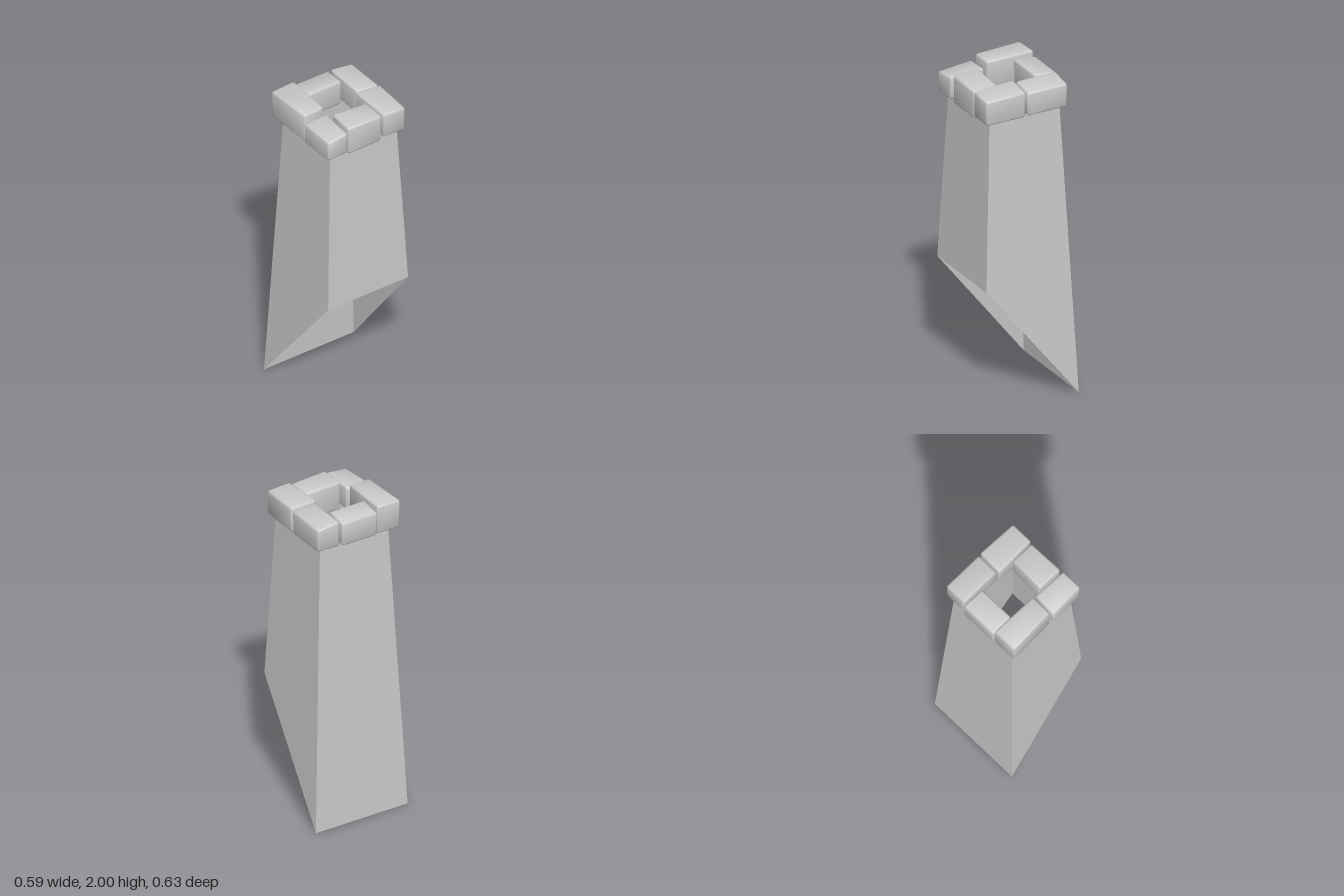
import * as THREE from 'three';
import { toCreasedNormals } from 'three/addons/utils/BufferGeometryUtils.js';
import { RoundedBoxGeometry } from 'three/addons/geometries/RoundedBoxGeometry.js';

const material = new THREE.MeshStandardMaterial({ color: 0xcccccc });
const shellMaterial = new THREE.MeshStandardMaterial({ color: 0xcccccc, side: THREE.DoubleSide });

// Hollow tapered shaft, open at the top and along the slanted bottom cut
function shaft() {
  const bottom = [[-0.297, 0, 0.313], [0.295, 0.765, 0.279], [0.295, 0.765, -0.279], [-0.297, 0, -0.313]];
  const top = [[-0.215, 1.83, 0.232], [0.247, 1.83, 0.232], [0.247, 1.83, -0.232], [-0.215, 1.83, -0.232]];
  const positions = [];
  for (let i = 0; i < 4; i++) {
    const j = (i + 1) % 4;
    positions.push(...bottom[i], ...bottom[j], ...top[j], ...bottom[i], ...top[j], ...top[i]);
  }
  const geometry = new THREE.BufferGeometry();
  geometry.setAttribute('position', new THREE.Float32BufferAttribute(positions, 3));
  geometry.computeVertexNormals();
  const mesh = new THREE.Mesh(geometry, shellMaterial);
  mesh.name = 'shaft';
  return mesh;
}

// Rim stone: a softened box warped onto an uneven plan.
// plan and tops list the corners: back left, back right, front right, front left
function stone(name, plan, base, tops) {
  const w = plan[1][0] - plan[0][0], d = plan[3][1] - plan[0][1], h = tops[0] - base;
  const geometry = new RoundedBoxGeometry(w, h, d, 2, 0.014);
  const p = geometry.attributes.position;
  const cx = plan.reduce((s, c) => s + c[0], 0) / 4;
  const cz = plan.reduce((s, c) => s + c[1], 0) / 4;
  for (let i = 0; i < p.count; i++) {
    const u = p.getX(i) / w + 0.5, v = p.getY(i) / h + 0.5, t = p.getZ(i) / d + 0.5;
    const weights = [(1 - u) * (1 - t), u * (1 - t), u * t, (1 - u) * t];
    const blend = (values) => weights.reduce((s, k, n) => s + k * values[n], 0);
    // ends pull in slightly above and below the widest level
    const pinch = 1 - 0.12 * (v - 0.55) ** 2;
    const x = cx + (blend(plan.map((c) => c[0])) - cx) * pinch;
    const z = cz + (blend(plan.map((c) => c[1])) - cz) * pinch;
    p.setXYZ(i, x, base + (blend(tops) - base) * v, z);
  }
  const mesh = new THREE.Mesh(toCreasedNormals(geometry, 0.6), material);
  mesh.name = name;
  return mesh;
}

export function createModel() {
  const group = new THREE.Group();
  group.name = 'chimney';
  group.add(shaft());

  // Ring of six stones
  group.add(
    stone('backRightStone', [[-0.252, -0.27], [0.018, -0.272], [0.012, -0.12], [-0.256, -0.12]], 1.815, [1.96, 1.965, 1.98, 1.98]),
    stone('backLeftStone', [[0.025, -0.273], [0.289, -0.267], [0.287, -0.115], [0.015, -0.104]], 1.815, [1.975, 1.97, 1.98, 1.985]),
    stone('rightStone', [[-0.266, -0.114], [-0.121, -0.11], [-0.121, 0.132], [-0.268, 0.131]], 1.815, [1.965, 1.98, 1.98, 1.965]),
    stone('leftStone', [[0.122, -0.107], [0.279, -0.11], [0.282, 0.128], [0.113, 0.127]], 1.797, [1.975, 1.97, 1.98, 1.985]),
    stone('frontRightStone', [[-0.262, 0.131], [0.05, 0.136], [0.05, 0.276], [-0.26, 0.292]], 1.815, [2, 2, 1.995, 1.993]),
    stone('frontLeftStone', [[0.067, 0.132], [0.291, 0.137], [0.296, 0.275], [0.061, 0.288]], 1.818, [1.965, 1.96, 1.945, 1.955]),
  );
  return group;
}
